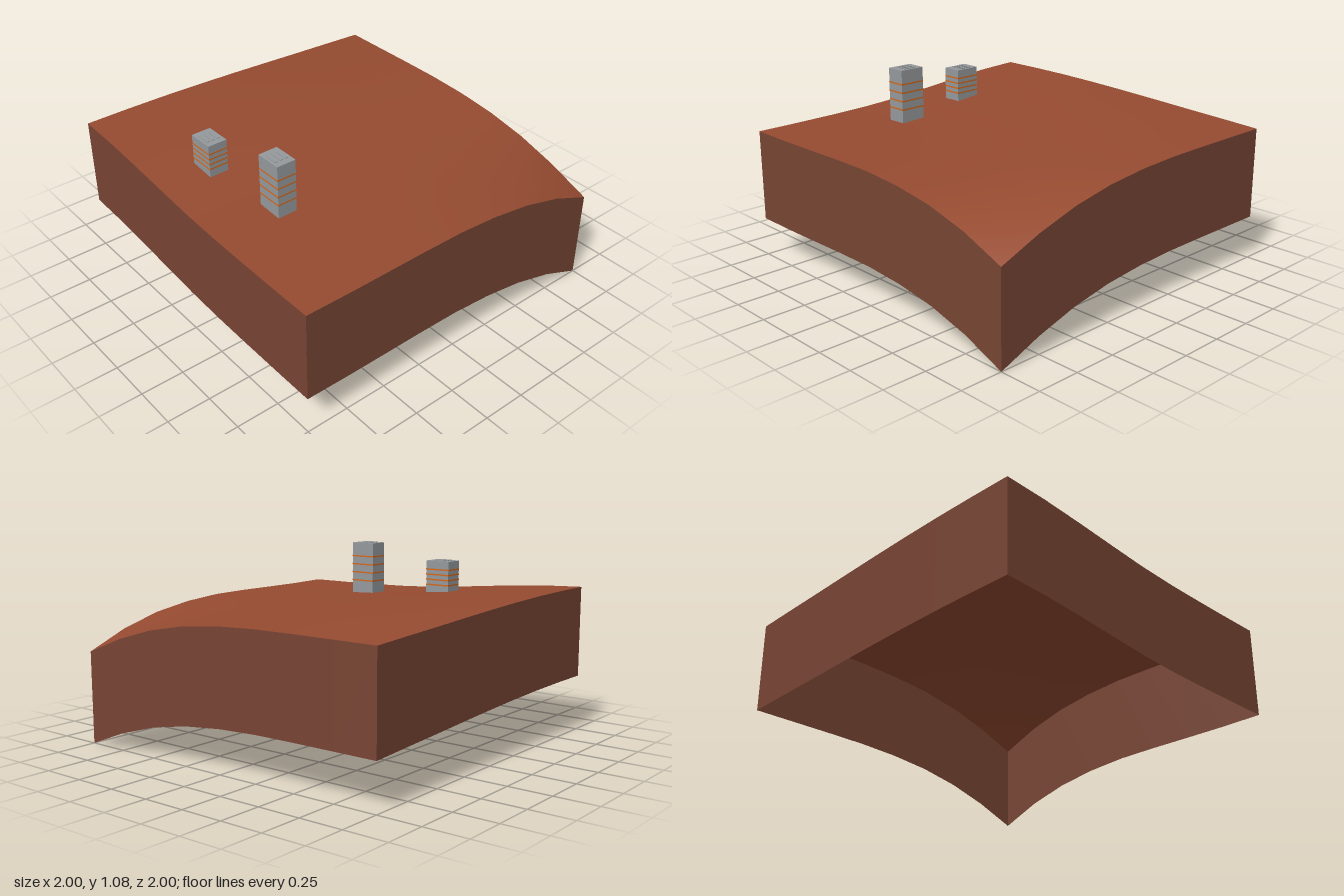
import * as THREE from 'three';

const soil = new THREE.MeshStandardMaterial({ name: 'redSoil', color: 0x964b31, side: THREE.DoubleSide });
const earth = new THREE.MeshStandardMaterial({ name: 'cutEarth', color: 0x784534, side: THREE.DoubleSide });
const concrete = new THREE.MeshStandardMaterial({ name: 'concrete', color: 0x969a9d });
const orange = new THREE.MeshStandardMaterial({ name: 'orangeBand', color: 0xd06a22 });

const SEG = 8;
const DEPTH = 0.53;

// Edge heights of the ground, each from -1 to 1
const FRONT = [0.76, 0.757, 0.758, 0.76, 0.758, 0.74, 0.702, 0.635, 0.535];
const BACK = [0.86, 0.86, 0.857, 0.85, 0.84, 0.828, 0.815, 0.803, 0.79];
const LEFT = [0.86, 0.85, 0.83, 0.806, 0.783, 0.77, 0.764, 0.761, 0.76];
const RIGHT = [0.79, 0.79, 0.79, 0.788, 0.777, 0.752, 0.705, 0.632, 0.535];

// Share of the fall from left to right reached along an edge
const fall = (edge, i) => (edge[i] - edge[0]) / (edge[SEG] - edge[0]);

// Loft each row from left to right, with a gentle swell in the middle
function height(i, j) {
  const u = i / SEG, v = j / SEG;
  const share = (1 - v) * fall(BACK, i) + v * fall(FRONT, i);
  const swell = 0.01 * Math.sin(Math.PI * u) ** 2 * Math.sin(Math.PI * v);
  return LEFT[j] + (RIGHT[j] - LEFT[j]) * share + swell;
}

// Ground surface
function makeGround() {
  const geo = new THREE.PlaneGeometry(2, 2, SEG, SEG).rotateX(-Math.PI / 2);
  const pos = geo.attributes.position;
  for (let j = 0; j <= SEG; j++) {
    for (let i = 0; i <= SEG; i++) pos.setY(j * (SEG + 1) + i, height(i, j));
  }
  geo.computeVertexNormals();
  const mesh = new THREE.Mesh(geo, soil);
  mesh.name = 'ground';
  return mesh;
}

// One side wall hanging below a ground edge; at(k) gives the grid corner
function makeWall(name, at) {
  const points = [], faces = [];
  for (let k = 0; k <= SEG; k++) {
    const [i, j] = at(k);
    const x = 2 * i / SEG - 1, z = 2 * j / SEG - 1, y = height(i, j);
    points.push(x, y, z, x, y - DEPTH, z);
    if (k < SEG) {
      const a = 2 * k;
      faces.push(a, a + 1, a + 2, a + 1, a + 3, a + 2);
    }
  }
  const geo = new THREE.BufferGeometry();
  geo.setAttribute('position', new THREE.Float32BufferAttribute(points, 3));
  geo.setIndex(faces);
  geo.computeVertexNormals();
  const mesh = new THREE.Mesh(geo, earth);
  mesh.name = name;
  return mesh;
}

function addBox(group, name, size, place, material) {
  const mesh = new THREE.Mesh(new THREE.BoxGeometry(...size), material);
  mesh.position.set(...place);
  mesh.name = name;
  group.add(mesh);
}

// Tower block with four orange floor bands and slats on the roof
function makeTower(name, x, z, bottom, roof) {
  const W = 0.116, D = 0.156, H = roof - bottom;
  const tower = new THREE.Group();
  tower.name = name;
  tower.position.set(x, 0, z);
  addBox(tower, 'body', [W, H, D], [0, bottom + H / 2, 0], concrete);
  for (let k = 0; k < 4; k++) {
    const y = bottom + H * (0.27 + 0.157 * k);
    addBox(tower, 'floorBand', [W + 0.002, 0.009, D + 0.002], [0, y, 0], orange);
  }
  for (const s of [-1, 0, 1]) {
    addBox(tower, 'roofSlat', [0.018, 0.004, 0.08], [s * 0.032, roof + 0.002, 0], concrete);
  }
  return tower;
}

export function createModel() {
  const model = new THREE.Group();
  model.name = 'terrainTile';
  model.add(
    makeGround(),
    makeWall('frontWall', k => [k, SEG]),
    makeWall('rearWall', k => [SEG - k, 0]),
    makeWall('rightWall', k => [0, k]),
    makeWall('leftWall', k => [SEG, SEG - k]),
    makeTower('tallTower', -0.588, 0.25, 0.764, 1.083),
    makeTower('shortTower', -0.668, -0.25, 0.798, 0.994),
  );
  // Lowest corner rests on the floor
  model.position.y = DEPTH - FRONT[SEG];
  return model;
}
